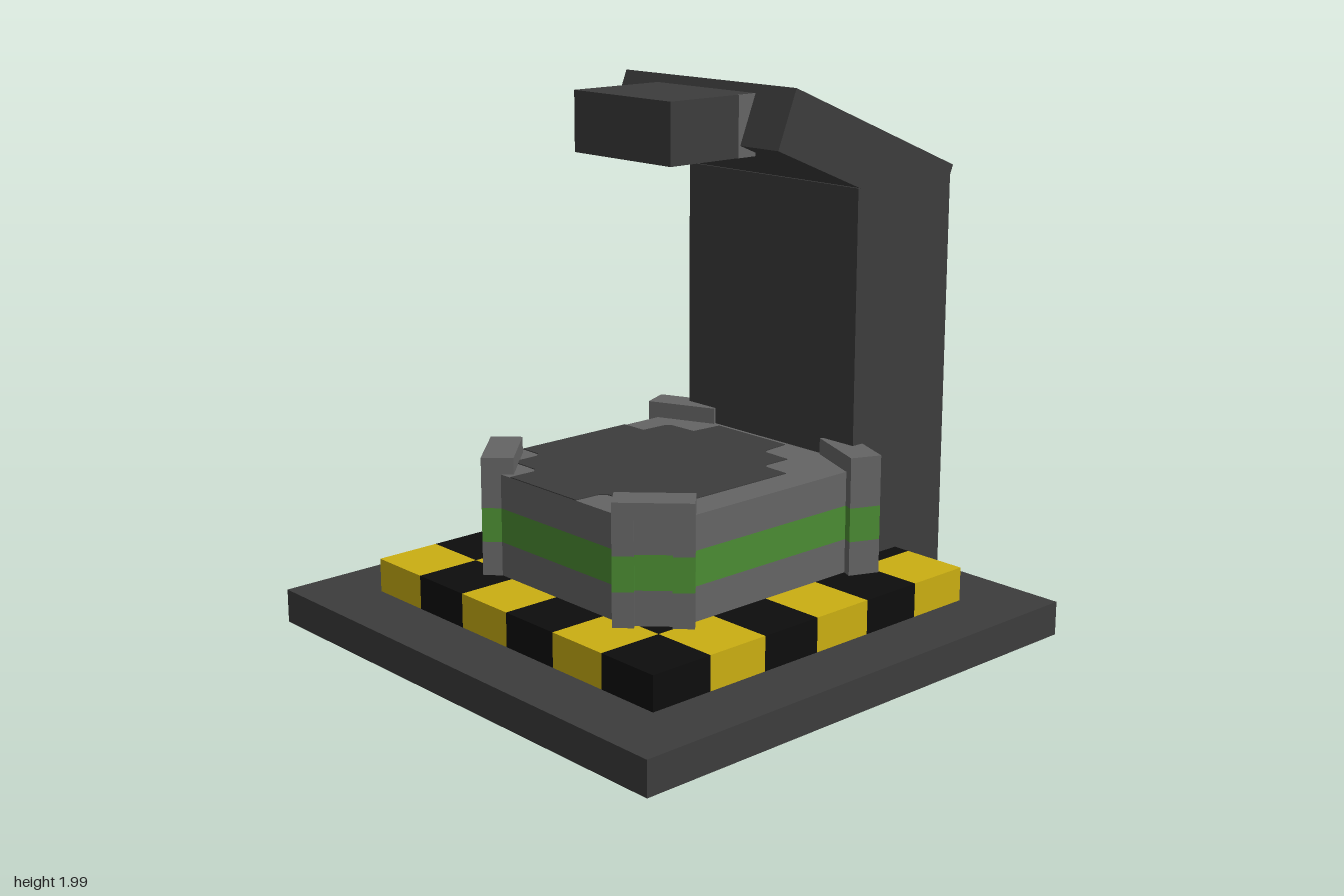
import * as THREE from 'three';

const mat = (name, color) => {
  const m = new THREE.MeshStandardMaterial({ color });
  m.name = name;
  return m;
};

export function createModel() {
  const dark = mat('charcoal', 0x3c3c3c);
  const grey = mat('steelGrey', 0x646464);
  const black = mat('black', 0x0d0d0d);
  const yellow = mat('warningYellow', 0xcaae12);
  const green = mat('green', 0x4b8c33);
  const gold = mat('gold', 0xa5844b);
  const pale = mat('paleGreen', 0x8aa583);

  const model = new THREE.Group();
  model.name = 'machine';

  const add = (parent, name, geometry, material) => {
    const mesh = new THREE.Mesh(geometry, material);
    mesh.name = name;
    parent.add(mesh);
    return mesh;
  };
  // Box given by its minimum and maximum corners
  const box = (parent, name, material, a, b) =>
    add(parent, name, new THREE.BoxGeometry(b[0] - a[0], b[1] - a[1], b[2] - a[2]), material)
      .position.set((a[0] + b[0]) / 2, (a[1] + b[1]) / 2, (a[2] + b[2]) / 2);
  // Upright prism over an outline of [x, z] points
  const prism = (parent, name, material, points, y0, y1) => {
    const shape = new THREE.Shape(points.map(([x, z]) => new THREE.Vector2(x, -z)));
    const g = new THREE.ExtrudeGeometry(shape, { depth: y1 - y0, bevelEnabled: false });
    g.rotateX(-Math.PI / 2).translate(0, y0, 0);
    return add(parent, name, g, material);
  };
  // Grey prism with a green band around it
  const banded = (parent, name, points, top) => {
    prism(parent, name + 'Lower', grey, points, 0.25, 0.375);
    prism(parent, name + 'Band', green, points, 0.375, 0.5);
    prism(parent, name + 'Upper', grey, points, 0.5, top);
  };
  // Thin rounded plate lying in the xy plane, centred
  const plate = (w, h, r, depth) => {
    const s = new THREE.Shape();
    const x = w / 2, y = h / 2;
    s.moveTo(-x + r, -y);
    s.lineTo(x - r, -y).quadraticCurveTo(x, -y, x, -y + r);
    s.lineTo(x, y - r).quadraticCurveTo(x, y, x - r, y);
    s.lineTo(-x + r, y).quadraticCurveTo(-x, y, -x, y - r);
    s.lineTo(-x, -y + r).quadraticCurveTo(-x, -y, -x + r, -y);
    return new THREE.ExtrudeGeometry(s, { depth, bevelEnabled: false, curveSegments: 6 });
  };

  // Base and checkered warning step
  box(model, 'base', dark, [-1, 0, -0.99], [0.98, 0.125, 0.99]);
  const step = new THREE.Group();
  step.name = 'warningStep';
  model.add(step);
  const cell = 0.248;
  for (let i = 0; i < 6; i++) {
    for (let j = 0; j < 6; j++) {
      const x = -0.755 + i * cell, z = -0.744 + j * cell;
      box(step, 'stepBlock', (i + j) % 2 ? black : yellow, [x, 0.125, z], [x + cell, 0.25, z + cell]);
    }
  }

  // Platform with cut corners
  const platform = new THREE.Group();
  platform.name = 'platform';
  model.add(platform);
  banded(platform, 'platform', [
    [-0.535, 0.37], [-0.41, 0.497], [0.44, 0.497], [0.5, 0.38],
    [0.5, -0.38], [0.44, -0.497], [-0.41, -0.497], [-0.535, -0.37],
  ], 0.625);
  // Dark stepped disc on the platform top
  prism(platform, 'platformDisc', dark, [
    [-0.535, -0.245], [-0.43, -0.245], [-0.41, -0.265], [-0.41, -0.37], [-0.39, -0.39],
    [-0.3, -0.39], [-0.28, -0.41], [-0.28, -0.497], [0.215, -0.497], [0.215, -0.39],
    [0.32, -0.385], [0.34, -0.365], [0.345, -0.25], [0.47, -0.24], [0.47, 0.11],
    [0.36, 0.12], [0.345, 0.14], [0.34, 0.25], [0.235, 0.25], [0.215, 0.27], [0.21, 0.37],
    [-0.26, 0.37], [-0.28, 0.35], [-0.285, 0.275], [-0.3, 0.255], [-0.385, 0.25],
    [-0.41, 0.23], [-0.415, 0.135], [-0.435, 0.115], [-0.535, 0.11],
  ], 0.625, 0.628);

  // Corner clamps, slotted on the outer face and closed by a cap
  const slotted = [
    [-0.138, -0.058], [0.138, -0.058], [0.138, 0.058], [0.064, 0.058],
    [0.064, 0.038], [-0.064, 0.038], [-0.064, 0.058], [-0.138, 0.058],
  ];
  const full = [slotted[0], slotted[1], slotted[2], slotted[7]];
  const corners = [
    { name: 'rearClamp', c: [-0.446, 0.407], u: [0.707, 0.707], v: [-0.707, 0.707] },
    { name: 'pillarClamp', c: [0.478, 0.428], u: [0.39, -0.92], v: [0.92, 0.39] },
  ];
  for (const { name, c, u, v } of corners) {
    for (const side of [1, -1]) {
      const clamp = new THREE.Group();
      clamp.name = name;
      model.add(clamp);
      const place = (pts) => pts.map(([a, b]) =>
        [c[0] + a * u[0] + b * v[0], side * (c[1] + a * u[1] + b * v[1])]);
      banded(clamp, 'clamp', place(slotted), 0.625);
      prism(clamp, 'clampCap', grey, place(full), 0.625, 0.685);
    }
  }

  // Pillar with a small light
  box(model, 'pillar', dark, [0.49, 0.125, -0.43], [0.98, 1.615, 0.43]);
  const light = add(model, 'pillarLight', plate(0.13, 0.255, 0.03, 0.004), pale);
  light.rotation.y = Math.PI / 2;
  light.position.set(0.979, 0.997, 0);

  // Sloping arm with its control panel
  const arm = new THREE.Group();
  arm.name = 'arm';
  arm.position.set(0.543, 1.716, 0);
  arm.rotation.z = -0.388;
  model.add(arm);
  add(arm, 'armSlab', new THREE.BoxGeometry(0.886, 0.22, 0.86), dark);
  const onArm = (name, material, x0, x1, z0, z1, r, thick) => {
    const m = add(arm, name, plate(x1 - x0, z1 - z0, r, thick), material);
    m.rotation.x = -Math.PI / 2;
    m.position.set((x0 + x1) / 2, 0.11, (z0 + z1) / 2);
  };
  onArm('controlPanel', grey, -0.324, 0.319, -0.315, 0.315, 0.035, 0.003);
  onArm('panelStripe', gold, -0.324, 0.319, -0.192, -0.063, 0.003, 0.006);
  onArm('panelButton', dark, -0.194, -0.065, 0.063, 0.182, 0.045, 0.006);
  onArm('panelButton', dark, 0.062, 0.194, 0.063, 0.182, 0.045, 0.006);

  // Head block over the platform
  box(model, 'head', dark, [-0.225, 1.74, -0.247], [0.165, 1.955, 0.245]);
  box(model, 'headTrim', grey, [0.083, 1.74, 0.245], [0.165, 1.955, 0.249]);

  return model;
}
